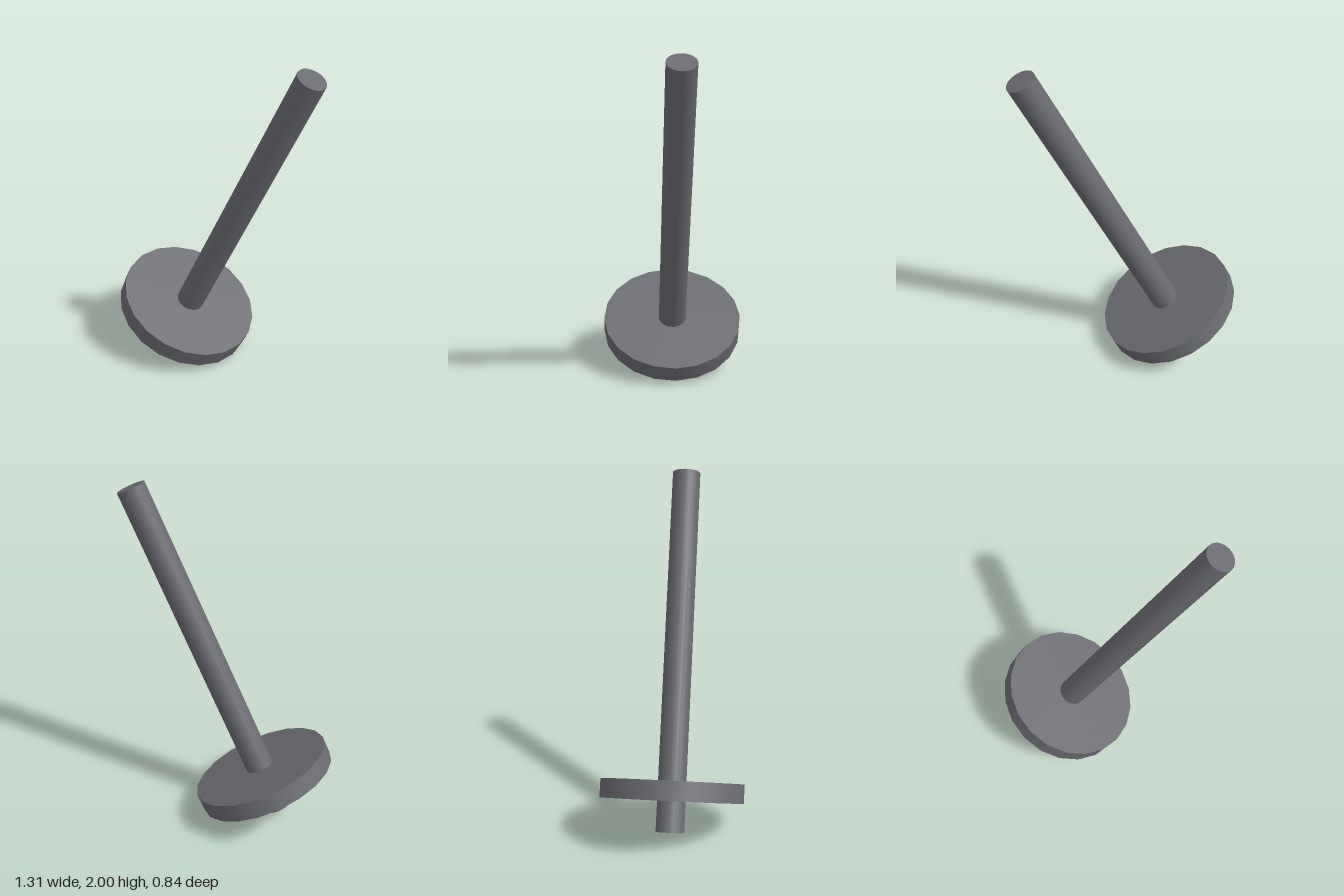
import * as THREE from 'three';

export function createModel() {
  const model = new THREE.Group();
  const steel = new THREE.MeshStandardMaterial({ color: 0x6a6b70 });
  steel.name = 'dark steel';

  // Both parts share one axis, leaning towards +x
  const tilt = Math.atan2(0.93, 1.925);

  function addCylinder(name, radius, length, x, y) {
    const mesh = new THREE.Mesh(new THREE.CylinderGeometry(radius, radius, length, 20), steel);
    mesh.name = name;
    mesh.position.set(x, y, 0);
    mesh.rotation.z = -tilt;
    model.add(mesh);
  }

  // Long rod, passing through the disc
  addCylinder('shaft', 0.083, 2.138, 0.11, 1.0);
  // Flat disc near the lower end
  addCylinder('disc', 0.419, 0.11, -0.255, 0.2525);

  return model;
}
